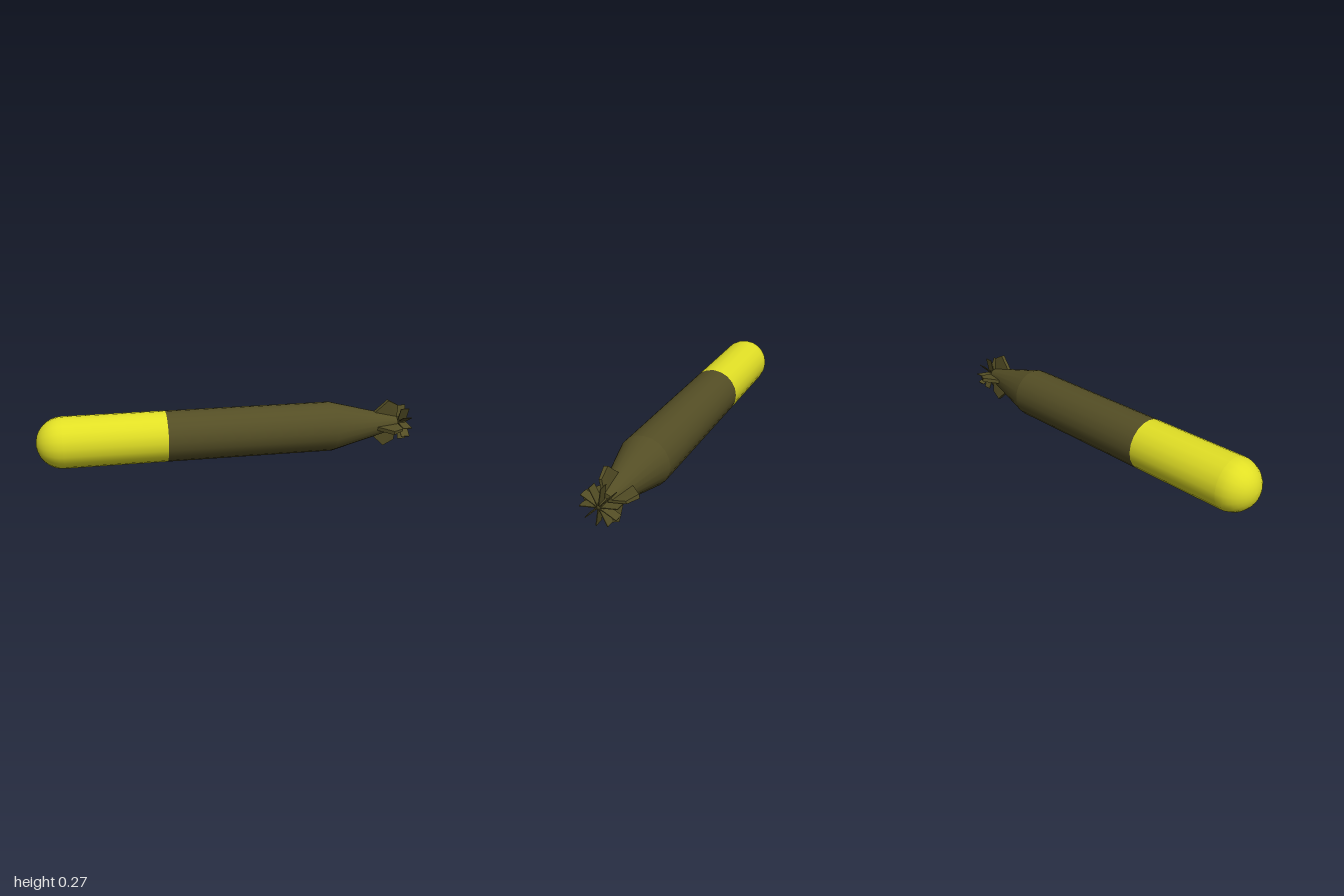
import * as THREE from 'three';

const R = 0.134, AXIS_Y = 0.136, SIDES = 20;

function material(name, color) {
  const m = new THREE.MeshStandardMaterial({ color });
  m.name = name;
  return m;
}

export function createModel() {
  const yellow = material('yellow paint', 0xe1df25);
  const olive = material('olive metal', 0x544e25);
  const torpedo = new THREE.Group();
  torpedo.name = 'torpedo';
  torpedo.position.y = AXIS_Y;

  function add(name, geometry, mat) {
    const mesh = new THREE.Mesh(geometry, mat);
    mesh.name = name;
    torpedo.add(mesh);
    return mesh;
  }

  // Revolves [x, radius] pairs about the long axis
  function revolve(name, profile, mat, sides = SIDES) {
    const pts = profile.map(([x, r]) => new THREE.Vector2(r, x));
    return add(name, new THREE.LatheGeometry(pts, sides).rotateZ(-Math.PI / 2), mat);
  }

  // Rounded nose running into the yellow front section
  const nose = [];
  for (let i = 0; i <= 10; i++) {
    const a = (i / 10) * Math.PI / 2;
    nose.push([-1 + R * (1 - Math.cos(a)), R * Math.sin(a)]);
  }
  revolve('nose', nose, yellow);
  revolve('warhead', [[-1 + R, R], [-0.34, R]], yellow);

  // Main body, tail cone with flat end, propeller shaft
  revolve('body', [[-0.34, R], [0.56, R]], olive);
  revolve('tailCone', [[0.56, R], [0.94, 0.038]], olive);
  revolve('tailCap', [[0.94, 0.038], [0.94, 0]], olive);
  revolve('shaft', [[0.93, 0.016], [0.995, 0.016]], olive, 16);
  revolve('shaftCap', [[0.995, 0.016], [0.995, 0]], olive, 16);

  // Four fins, thinner toward the trailing edge
  const outline = new THREE.Shape([
    [0.8, 0.03], [0.81, 0.07], [0.88, 0.136], [0.942, 0.104], [0.942, 0.03],
  ].map(([x, y]) => new THREE.Vector2(x, y)));
  const finGeo = new THREE.ExtrudeGeometry(outline, { depth: 1, bevelEnabled: false });
  finGeo.translate(0, 0, -0.5);
  const p = finGeo.attributes.position;
  for (let i = 0; i < p.count; i++) {
    const t = THREE.MathUtils.clamp((p.getX(i) - 0.88) / 0.062, 0, 1);
    p.setZ(i, p.getZ(i) * THREE.MathUtils.lerp(0.021, 0.014, t));
  }
  finGeo.computeVertexNormals();
  for (let i = 0; i < 4; i++) {
    add('fin' + (i + 1), finGeo, olive).rotation.x = THREE.MathUtils.degToRad(9 + i * 90);
  }

  // Ten thin propeller blades
  const bladeGeo = new THREE.BoxGeometry(0.048, 0.085, 0.004).translate(0.976, 0.0515, 0);
  for (let i = 0; i < 10; i++) {
    add('propellerBlade' + (i + 1), bladeGeo, olive).rotation.x = THREE.MathUtils.degToRad(-10 + i * 36);
  }

  const model = new THREE.Group();
  model.name = 'model';
  model.add(torpedo);
  return model;
}
